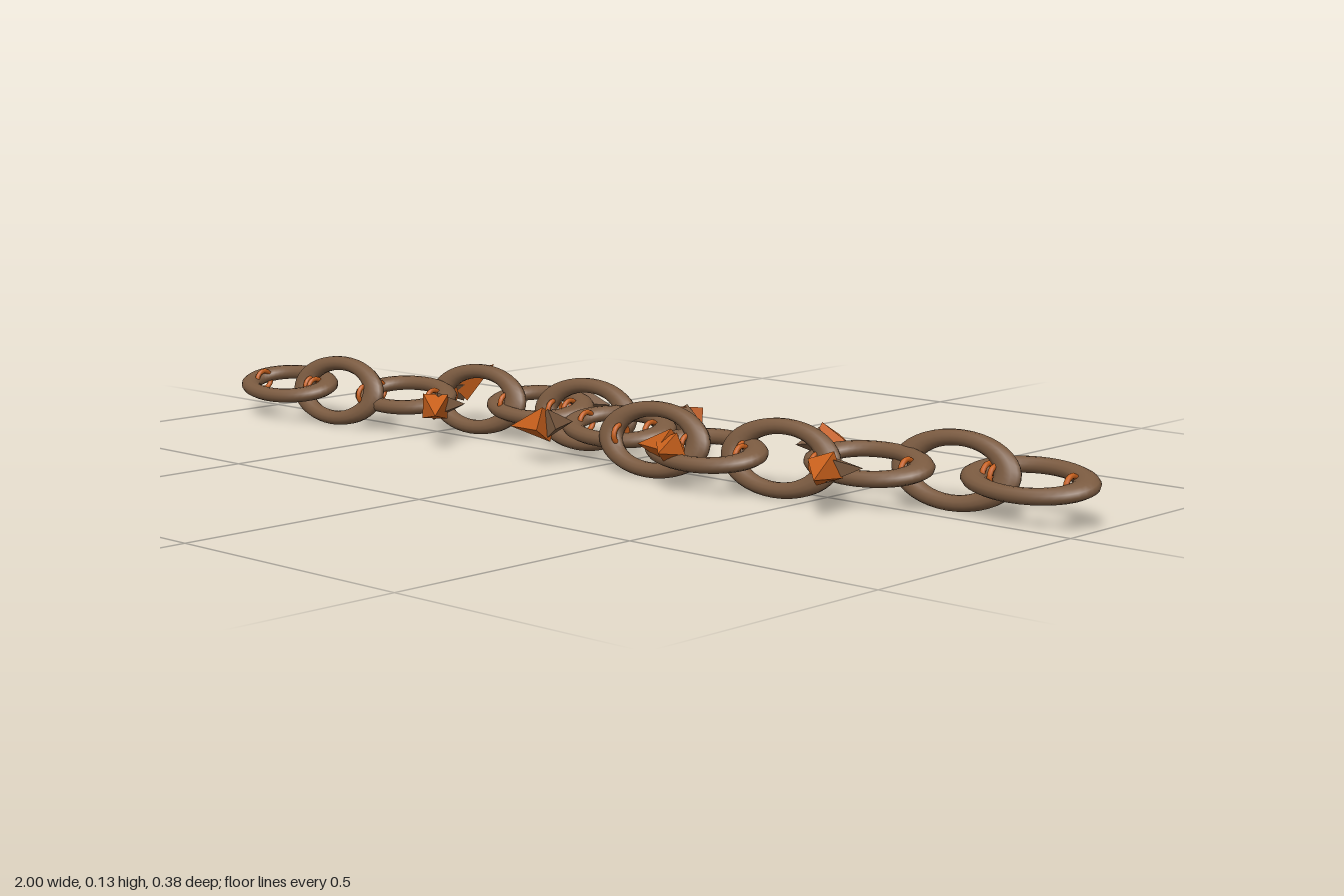
import * as THREE from 'three';

export function createModel() {
  const model = new THREE.Group();
  const iron = new THREE.MeshStandardMaterial({ color: 0x7a5a40 });
  iron.name = 'rusty brown';
  const rust = new THREE.MeshStandardMaterial({ color: 0xc8601c });
  rust.name = 'rust orange';
  const midY = 0.0685;

  // Chain links: stretched rings, alternately lying and standing, on a wave
  const ring = new THREE.TorusGeometry(0.056, 0.0142, 12, 40).rotateX(Math.PI / 2);
  ring.scale(1.9, 1, 1);
  // Worn rust collar at the inner end of a link
  const collar = new THREE.TorusGeometry(0.018, 0.005, 8, 16).rotateY(Math.PI / 2);
  const tilt = 0.3;
  for (let i = -6; i <= 6; i++) {
    const link = new THREE.Group();
    link.name = 'chainLink';
    link.position.set(i * 0.1443, midY, 0.08 * Math.sin(i * 0.83));
    link.rotation.x = i % 2 === 0 ? tilt : Math.PI / 2 - tilt;
    const body = new THREE.Mesh(ring, iron);
    body.name = 'linkRing';
    link.add(body);
    for (const side of [-1, 1]) {
      const wear = new THREE.Mesh(collar, rust);
      wear.name = 'rustCollar';
      wear.position.x = side * 0.083;
      link.add(wear);
    }
    model.add(link);
  }

  // Faceted spike from a base centre to a tip
  const up = new THREE.Vector3(0, 1, 0);
  function spike(name, base, tip, radius, material) {
    const dir = tip.clone().sub(base);
    const geometry = new THREE.ConeGeometry(radius, dir.length(), 4).toNonIndexed();
    geometry.computeVertexNormals();
    const mesh = new THREE.Mesh(geometry, material);
    mesh.name = name;
    mesh.position.copy(base).add(tip).multiplyScalar(0.5);
    mesh.quaternion.setFromUnitVectors(up, dir.normalize());
    return mesh;
  }

  // Barbs: base x z, outer tip x y z, inner tip x z
  const barbs = [
    [-0.55, -0.115, -0.475, 0.125, -0.135, -0.57, -0.04],
    [-0.395, 0.1, -0.33, 0.07, 0.16, -0.375, 0.04],
    [-0.25, -0.155, -0.29, 0.065, -0.195, -0.16, -0.145],
    [-0.085, 0.105, -0.165, 0.065, 0.12, -0.075, 0.045],
    [0.07, -0.12, 0.01, 0.07, -0.185, 0.045, -0.055],
    [0.25, 0.13, 0.165, 0.072, 0.125, 0.275, 0.19],
    [0.395, -0.12, 0.485, 0.07, -0.1, 0.39, -0.045],
    [0.575, 0.1, 0.615, 0.07, 0.18, 0.62, 0.055],
  ];
  barbs.forEach(([bx, bz, ox, oy, oz, ix, iz], n) => {
    const barb = new THREE.Group();
    barb.name = 'barb';
    const base = new THREE.Vector3(bx, 0.075, bz);
    barb.add(spike('outerSpike', base, new THREE.Vector3(ox, oy, oz), 0.034, rust));
    barb.add(spike('innerSpike', base, new THREE.Vector3(ix, 0.075, iz), 0.03, n === 5 ? rust : iron));
    model.add(barb);
  });

  return model;
}
